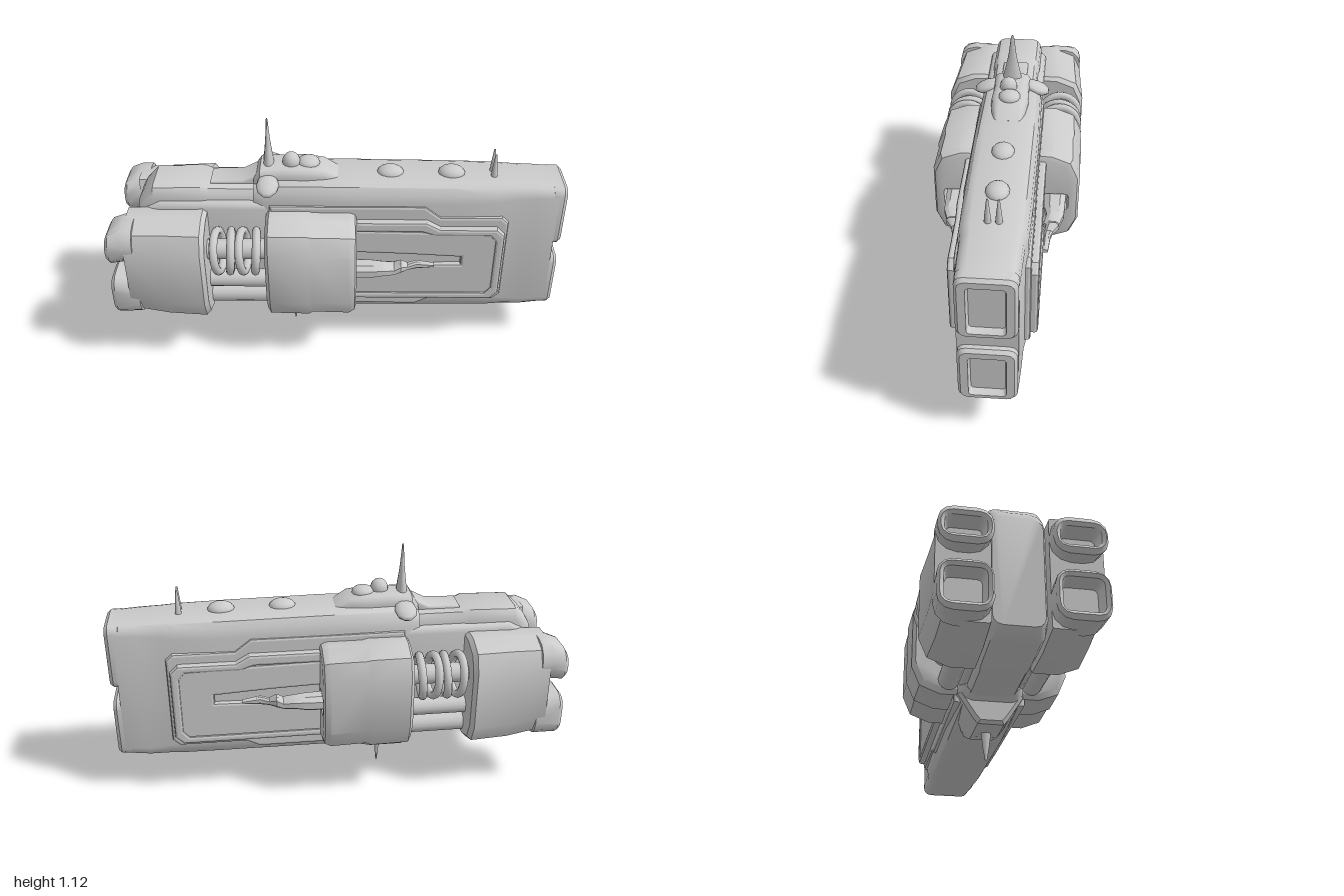
import * as THREE from 'three';
import { toCreasedNormals } from 'three/addons/utils/BufferGeometryUtils.js';

const grey = new THREE.MeshStandardMaterial({ color: 0xcccccc });

// Rounded (seg 3) or chamfered (seg 1) rectangle in the y-z plane; "inner" scales the cuts on the z0 side
function sec(y0, y1, z0, z1, cy, cz = cy, seg = 3, inner = 1) {
  const pts = [];
  [[0, 0, Math.PI], [1, 0, 1.5 * Math.PI], [1, 1, 0], [0, 1, 0.5 * Math.PI]].forEach(([iy, iz, a0]) => {
    const ry = iz ? cy : cy * inner, rz = iz ? cz : cz * inner;
    for (let k = 0; k <= seg; k++) {
      const a = a0 + (k / seg) * Math.PI / 2;
      pts.push([(iy ? y1 - ry : y0 + ry) + ry * Math.cos(a), (iz ? z1 - rz : z0 + rz) + rz * Math.sin(a)]);
    }
  });
  return pts;
}

// Skin a row of cross-sections [x, points]; going back in x makes a recess
function loft(stations, crease = 0.6) {
  const pos = [];
  const n = stations[0][1].length;
  const P = (s, i) => [stations[s][0], ...stations[s][1][i % n]];
  const tri = (a, b, c) => pos.push(...a, ...b, ...c);
  for (let s = 0; s < stations.length - 1; s++) {
    for (let i = 0; i < n; i++) {
      const a = P(s, i), b = P(s, i + 1), c = P(s + 1, i + 1), d = P(s + 1, i);
      tri(a, b, c);
      tri(a, c, d);
    }
  }
  const last = stations.length - 1;
  for (let i = 1; i < n - 1; i++) {
    tri(P(0, 0), P(0, i + 1), P(0, i));
    tri(P(last, 0), P(last, i), P(last, i + 1));
  }
  const g = new THREE.BufferGeometry();
  g.setAttribute('position', new THREE.Float32BufferAttribute(pos, 3));
  return toCreasedNormals(g, crease);
}

// Mirror across z = 0, keeping faces outward
function mirrorZ(geo) {
  const g = geo.index ? geo.toNonIndexed() : geo.clone();
  g.scale(1, 1, -1);
  for (const at of Object.values(g.attributes)) {
    const k = at.itemSize;
    for (let t = 0; t < at.count; t += 3) {
      for (let j = 0; j < k; j++) {
        const u = (t + 1) * k + j, v = (t + 2) * k + j;
        [at.array[u], at.array[v]] = [at.array[v], at.array[u]];
      }
    }
  }
  return g;
}

const path = (pts, Type = THREE.Shape) => new Type(pts.map(p => new THREE.Vector2(...p)));

// Bevelled plate on the flank: outline in x-y, from z0 out to z1
function plate(outline, z0, z1, hole) {
  const s = path(outline);
  if (hole) s.holes.push(path(hole, THREE.Path));
  const b = 0.012;
  return new THREE.ExtrudeGeometry(s, {
    depth: z1 - z0 - b, bevelThickness: b, bevelSize: b, bevelOffset: -b, bevelSegments: 2,
  }).translate(0, 0, z0);
}

export function createModel() {
  const root = new THREE.Group();
  const add = (name, geo) => {
    const m = new THREE.Mesh(geo, grey);
    m.name = name;
    root.add(m);
  };
  const pair = (name, geo) => {
    add(name + 'Left', geo);
    add(name + 'Right', mirrorZ(geo));
  };
  const mid = (y0, y1, w, c, cz) => sec(y0, y1, -w, w, c, cz);

  // Main hull
  add('mainHull', loft([
    [-0.37, mid(0.24, 0.83, 0.12, 0.05)], [-0.31, mid(0.2, 0.855, 0.14, 0.08, 0.05)],
    [0.05, mid(0.18, 0.857, 0.145, 0.08, 0.05)], [0.5, mid(0.18, 0.852, 0.143, 0.08, 0.05)],
    [0.7, mid(0.18, 0.848, 0.138, 0.07, 0.05)], [0.76, mid(0.18, 0.846, 0.127, 0.06, 0.045)],
    [0.86, mid(0.18, 0.842, 0.124, 0.05, 0.045)], [0.966, mid(0.192, 0.836, 0.12, 0.045)],
  ]));

  // Two recessed prow openings separated by a notch
  [['prowUpper', 0.54, 0.836], ['prowLower', 0.195, 0.47]].forEach(([name, a, b]) => add(name, loft([
    [0.94, mid(a, b, 0.12, 0.035)], [0.985, mid(a, b, 0.118, 0.035)], [1, mid(a + 0.01, b - 0.012, 0.106, 0.03)],
    [1, mid(a + 0.025, b - 0.04, 0.075, 0.015)], [0.96, mid(a + 0.03, b - 0.045, 0.068, 0.012)],
  ])));

  // Stern section between the engines
  add('sternBody', loft([
    [-0.88, mid(0.29, 0.75, 0.1, 0.04)], [-0.86, mid(0.27, 0.785, 0.11, 0.06)],
    [-0.81, mid(0.25, 0.83, 0.115, 0.06, 0.04)], [-0.6, mid(0.235, 0.835, 0.115, 0.06, 0.04)],
    [-0.57, mid(0.235, 0.825, 0.11, 0.06, 0.04)], [-0.3, mid(0.23, 0.825, 0.11, 0.06, 0.04)],
  ]));
  add('sternShoulders', loft([
    [-0.84, mid(0.3, 0.74, 0.13, 0.03)], [-0.78, mid(0.28, 0.77, 0.14, 0.03)], [-0.28, mid(0.27, 0.77, 0.14, 0.03)],
  ]));
  add('dorsalRidge', loft([
    [-0.56, mid(0.8, 0.835, 0.06, 0.01)], [-0.42, mid(0.8, 0.84, 0.06, 0.01)], [-0.34, mid(0.8, 0.885, 0.06, 0.02)],
  ]));

  // Layered flank armour with a slot
  pair('outerPlate', plate([[-0.3, 0.22], [0.36, 0.22], [0.42, 0.25], [0.72, 0.25], [0.75, 0.28], [0.75, 0.68],
    [0.72, 0.71], [0.45, 0.71], [0.38, 0.765], [-0.3, 0.765]], 0.1, 0.152));
  pair('panelFrame', plate([[-0.2, 0.275], [0.7, 0.275], [0.735, 0.31], [0.735, 0.63], [0.7, 0.665], [0.45, 0.665],
    [0.39, 0.7], [-0.2, 0.7]], 0.11, 0.182,
  [[-0.1, 0.31], [-0.1, 0.65], [0.37, 0.65], [0.43, 0.63], [0.67, 0.63], [0.695, 0.6], [0.695, 0.34], [0.67, 0.31]]));
  pair('panelInset', plate([[-0.15, 0.3], [0.71, 0.3], [0.71, 0.64], [-0.15, 0.66]], 0.12, 0.175,
    [[0.04, 0.46], [0.04, 0.535], [0.3, 0.525], [0.55, 0.51], [0.55, 0.47]]));

  // Forward nacelle with a gun port in its front face
  const nac = (y0, y1, z1, k = 1) => sec(y0, y1, 0.11, z1, 0.115 * k, 0.12 * k, 2, 0.08);
  pair('forwardNacelle', loft([
    [-0.315, nac(0.27, 0.72, 0.315)], [-0.3, nac(0.25, 0.74, 0.33)], [-0.13, nac(0.25, 0.742, 0.335)],
    [-0.11, nac(0.258, 0.735, 0.33)], [0.05, nac(0.255, 0.735, 0.332)], [0.075, nac(0.265, 0.725, 0.322)],
    [0.082, nac(0.285, 0.71, 0.305)], [0.082, sec(0.435, 0.525, 0.17, 0.285, 0.015, 0.015, 2)],
    [0.02, sec(0.44, 0.52, 0.175, 0.28, 0.015, 0.015, 2)],
  ]));

  // Engine block, forked at the rear into two hollow exhausts
  pair('engineBlock', loft([
    [-0.92, nac(0.27, 0.735, 0.318)], [-0.76, nac(0.243, 0.74, 0.325)], [-0.59, nac(0.24, 0.742, 0.336)],
    [-0.572, nac(0.255, 0.727, 0.322)],
  ]));
  const exhaust = (y0, y1, d, c) => sec(y0 + d, y1 - d, 0.11 + d, 0.318 - d, c, c, 3);
  pair('exhaustUpper', loft([
    [-0.93, exhaust(0.57, 0.68, 0.035, 0.02)], [-0.99, exhaust(0.56, 0.69, 0.025, 0.025)],
    [-1, exhaust(0.56, 0.69, 0.01, 0.045)], [-0.985, exhaust(0.55, 0.705, 0, 0.06)],
    [-0.93, exhaust(0.55, 0.735, 0, 0.08)], [-0.88, exhaust(0.55, 0.735, 0, 0.08)],
  ]));
  pair('exhaustLower', loft([
    [-0.93, exhaust(0.29, 0.47, 0.035, 0.02)], [-0.99, exhaust(0.285, 0.475, 0.025, 0.025)],
    [-1, exhaust(0.285, 0.475, 0.01, 0.045)], [-0.985, exhaust(0.277, 0.482, 0, 0.06)],
    [-0.88, exhaust(0.268, 0.482, 0, 0.08)],
  ]));

  // Coils and pipes bridging the nacelles
  const rod = (y, z, r) => new THREE.CylinderGeometry(r, r, 0.32, 14).rotateZ(Math.PI / 2).translate(-0.44, y, z);
  for (let i = 0; i < 4; i++) {
    pair('coil' + (i + 1), new THREE.TorusGeometry(0.09, 0.019, 8, 24)
      .rotateY(Math.PI / 2 + (i % 2 ? 0.08 : -0.08)).rotateZ(i % 2 ? -0.08 : 0.1).translate(-0.525 + i * 0.055, 0.58, 0.225));
  }
  pair('coilCore', rod(0.58, 0.21, 0.045));
  pair('upperPipe', rod(0.41, 0.2, 0.04));
  pair('lowerPipe', rod(0.31, 0.175, 0.045));

  // Side gun, thinning to a ragged barrel
  pair('sideGun', loft([[0.02, 0.485, 0.035, 0.225, 0.05], [0.15, 0.485, 0.032, 0.225, 0.045],
    [0.2, 0.49, 0.026, 0.23, 0.038], [0.25, 0.48, 0.022, 0.215, 0.035], [0.28, 0.495, 0.026, 0.22, 0.028],
    [0.31, 0.485, 0.014, 0.205, 0.018], [0.35, 0.492, 0.018, 0.2, 0.014], [0.43, 0.485, 0.008, 0.195, 0.012]]
    .map(([x, y, h, z, w]) => [x, sec(y - h, y + h, z - w, z + w, h * 0.5, w * 0.5, 1)])));

  // Bridge on the back
  add('bridge', loft([
    [-0.37, mid(0.8, 0.855, 0.07, 0.02)], [-0.34, mid(0.8, 0.9, 0.085, 0.035)], [-0.24, mid(0.8, 0.905, 0.08, 0.035)],
    [-0.14, mid(0.8, 0.905, 0.085, 0.035)], [-0.06, mid(0.8, 0.895, 0.075, 0.03)], [0, mid(0.8, 0.857, 0.06, 0.015)],
  ]));
  const blob = (x, y, z, a, b, c) => new THREE.SphereGeometry(1, 14, 10).scale(a, b, c).translate(x, y, z);
  add('bridgeDome', blob(-0.205, 0.91, 0.01, 0.04, 0.045, 0.04));
  add('bridgeHood', blob(-0.13, 0.9, 0, 0.05, 0.03, 0.05));
  [0.23, 0.5].forEach((x, i) => add('topBlister' + (i + 1), blob(x, 0.85, 0, 0.06, 0.035, 0.05)));

  // Winglets beside the bridge
  pair('winglet', new THREE.SphereGeometry(1, 10, 6).scale(0.05, 0.024, 0.065).rotateX(0.35).translate(-0.305, 0.85, 0.115));

  // Masts and spikes
  const spike = (pts, x, z = 0, flat = 1) =>
    new THREE.LatheGeometry(pts.map(p => new THREE.Vector2(...p)), 12).scale(flat, 1, 1).translate(x, 0, z);
  add('topSpike', spike([[0.05, 0.84], [0.04, 0.92], [0.03, 0.96], [0.018, 1.02], [0.007, 1.11], [0, 1.12]], -0.305, 0, 0.55));
  pair('antenna', spike([[0.016, 0.83], [0.012, 0.88], [0.004, 0.955], [0, 0.957]], 0.685, 0.022));
  add('bottomSpike', spike([[0, 0], [0.005, 0.005], [0.014, 0.06], [0.022, 0.13]], -0.21, 0, 0.6));

  // Ventral keel
  const keel = (y, w, t) => [[y, -w], [y + 0.025, -w - 0.02], [0.25, -t], [0.25, t], [y + 0.025, w + 0.02], [y, w]];
  add('keel', loft([
    [-0.335, keel(0.135, 0.045, 0.125)], [-0.32, keel(0.122, 0.055, 0.14)], [-0.17, keel(0.122, 0.055, 0.14)],
    [-0.08, keel(0.14, 0.05, 0.14)], [0.01, keel(0.185, 0.06, 0.13)],
  ]));
  return root;
}
